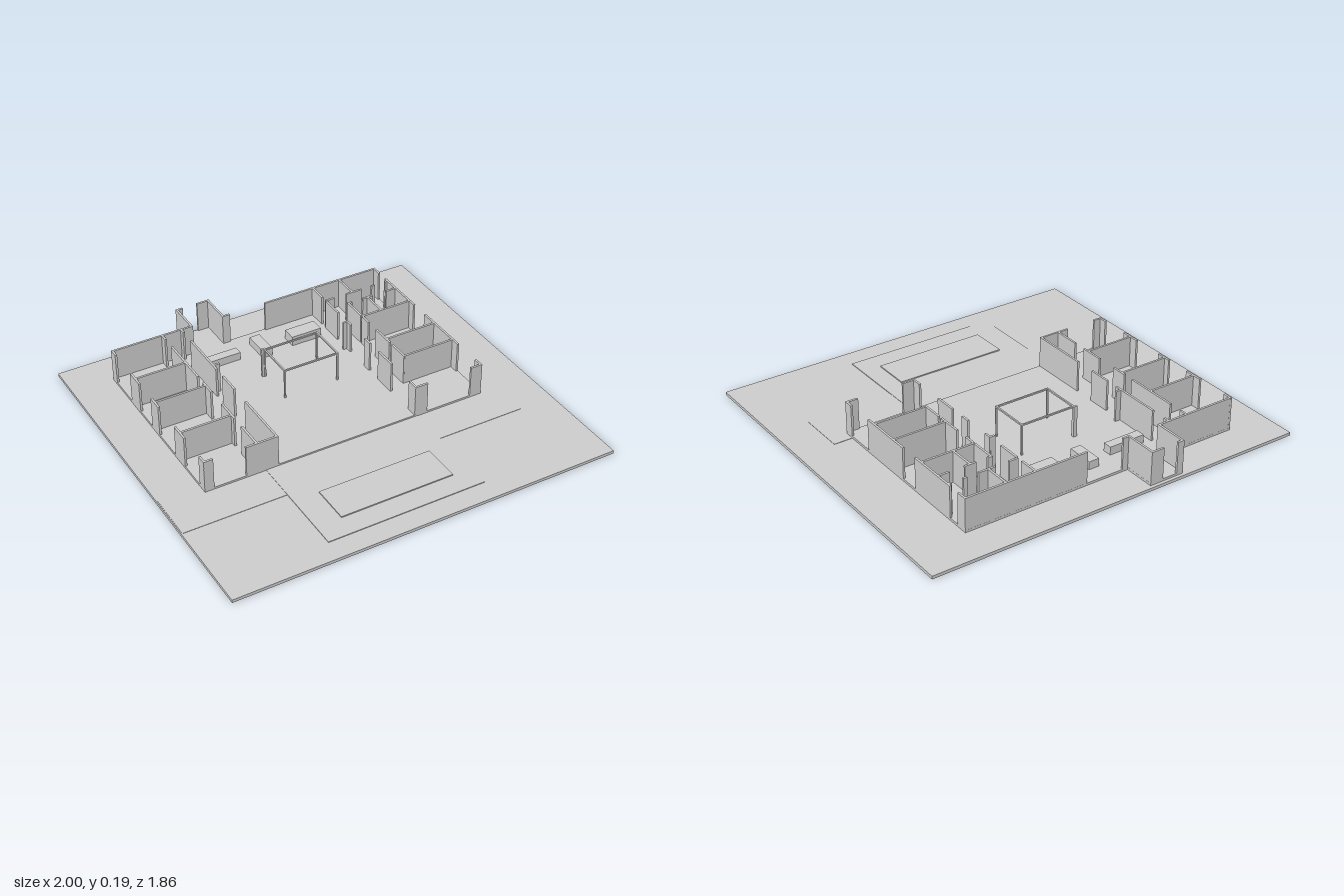
import * as THREE from 'three';

const FLOOR = 0.028, TOP = 0.19, T = 0.011;

export function createModel() {
  const model = new THREE.Group();
  const mat = new THREE.MeshStandardMaterial({ color: 0xcccccc, flatShading: true });

  // Box given by its limits on each axis
  function block(parent, name, x0, x1, y0, y1, z0, z1) {
    const mesh = new THREE.Mesh(new THREE.BoxGeometry(x1 - x0, y1 - y0, z1 - z0), mat);
    mesh.position.set((x0 + x1) / 2, (y0 + y1) / 2, (z0 + z1) / 2);
    mesh.name = name;
    parent.add(mesh);
  }
  function group(name) {
    const g = new THREE.Group();
    g.name = name;
    model.add(g);
    return g;
  }
  // Walls running along z at a fixed x, or along x at a fixed z; gaps are doors and windows
  const wallsZ = (g, name, x, spans) =>
    spans.forEach(([a, b]) => block(g, name, x - T / 2, x + T / 2, FLOOR, TOP, a, b));
  const wallsX = (g, name, z, spans) =>
    spans.forEach(([a, b]) => block(g, name, a, b, FLOOR, TOP, z - T / 2, z + T / 2));

  // Site, paving and pool
  block(model, 'ground', -1, 1, 0, 0.016, -0.93, 0.93);
  block(model, 'frontPath', -0.995, 0.81, 0.01, 0.018, 0.2, 0.45);
  block(model, 'poolTerrace', -0.47, 0.35, 0.01, 0.02, 0.2, 0.82);
  block(model, 'pool', -0.34, 0.25, 0.01, 0.026, 0.51, 0.71);

  // Raised house floor
  block(model, 'houseFloor', -0.783, 0.713, 0.01, FLOOR, -0.748, 0.25);
  block(model, 'entranceFloor', -0.355, -0.17, 0.01, FLOOR, -0.913, -0.74);

  // Outer walls
  const outer = group('outerWalls');
  wallsZ(outer, 'leftOuterWall', -0.778,
    [[-0.748, -0.70], [-0.53, -0.43], [-0.30, -0.22], [-0.05, 0.05], [0.20, 0.25]]);
  wallsZ(outer, 'rightOuterWall', 0.708,
    [[-0.748, -0.69], [-0.63, -0.35], [-0.25, 0.05], [0.20, 0.25]]);
  wallsX(outer, 'backWall', -0.742, [[-0.783, -0.345], [-0.18, -0.14], [0.06, 0.713]]);
  wallsX(outer, 'frontWall', 0.245,
    [[-0.783, -0.735], [-0.57, -0.405], [0.335, 0.405], [0.65, 0.713]]);

  // Entrance projecting from the back
  const entrance = group('entrance');
  wallsX(entrance, 'entranceWall', -0.908, [[-0.355, -0.32], [-0.24, -0.17]]);
  for (const x of [-0.35, -0.176]) wallsZ(entrance, 'entranceSide', x, [[-0.913, -0.737]]);

  // Left wing: bedrooms along a corridor
  const left = group('leftWing');
  wallsZ(left, 'corridorWall', -0.512,
    [[-0.745, -0.70], [-0.63, -0.345], [-0.29, -0.205], [-0.095, 0.03], [0.10, 0.25]]);
  wallsZ(left, 'courtyardWall', -0.408,
    [[-0.745, -0.71], [-0.63, -0.355], [-0.29, -0.17], [-0.06, 0.25]]);
  for (const z of [-0.48, -0.265, 0]) wallsX(left, 'roomPartition', z, [[-0.778, -0.512]]);

  // Right wing: small rooms at the back, larger ones in front
  const right = group('rightWing');
  wallsZ(right, 'courtyardWall', 0.34,
    [[-0.745, -0.64], [-0.60, -0.48], [-0.395, -0.355], [-0.22, -0.17], [-0.09, 0.03], [0.19, 0.25]]);
  wallsZ(right, 'corridorWall', 0.428,
    [[-0.53, -0.40], [-0.39, -0.33], [-0.26, -0.13], [-0.11, 0.005]]);
  for (const z of [-0.395, -0.165, 0]) wallsX(right, 'roomPartition', z, [[0.428, 0.708]]);
  wallsX(right, 'serviceWall', -0.608, [[0.34, 0.39], [0.46, 0.55], [0.61, 0.63], [0.69, 0.708]]);
  wallsX(right, 'serviceWall', -0.53, [[0.423, 0.45], [0.51, 0.57], [0.65, 0.708]]);
  wallsZ(right, 'serviceDivider', 0.497, [[-0.742, -0.608]]);
  wallsZ(right, 'serviceDivider', 0.54, [[-0.53, -0.395]]);

  // Short wall ends of the living room towards the courtyard
  wallsX(group('livingRoomStubs'), 'stub', -0.392,
    [[-0.408, -0.375], [-0.147, -0.127], [0.315, 0.34]]);

  // Open frame in the courtyard
  const frame = group('courtyardFrame');
  const [fx0, fx1, fz0, fz1, b] = [-0.135, 0.165, -0.39, -0.18, 0.008];
  for (const x of [fx0, fx1 - b]) {
    for (const z of [fz0, fz1 - b]) block(frame, 'framePost', x, x + b, FLOOR, TOP, z, z + b);
    block(frame, 'frameBeam', x, x + b, TOP - b, TOP, fz0 + b, fz1 - b);
  }
  for (const z of [fz0, fz1 - b]) block(frame, 'frameBeam', fx0 + b, fx1 - b, TOP - b, TOP, z, z + b);

  // Living room furniture
  block(model, 'sideboard', -0.365, -0.17, FLOOR, 0.07, -0.62, -0.572);
  block(model, 'bench', -0.07, -0.014, FLOOR, 0.07, -0.665, -0.525);
  block(model, 'table', 0.11, 0.275, FLOOR, 0.08, -0.62, -0.545);

  return model;
}
